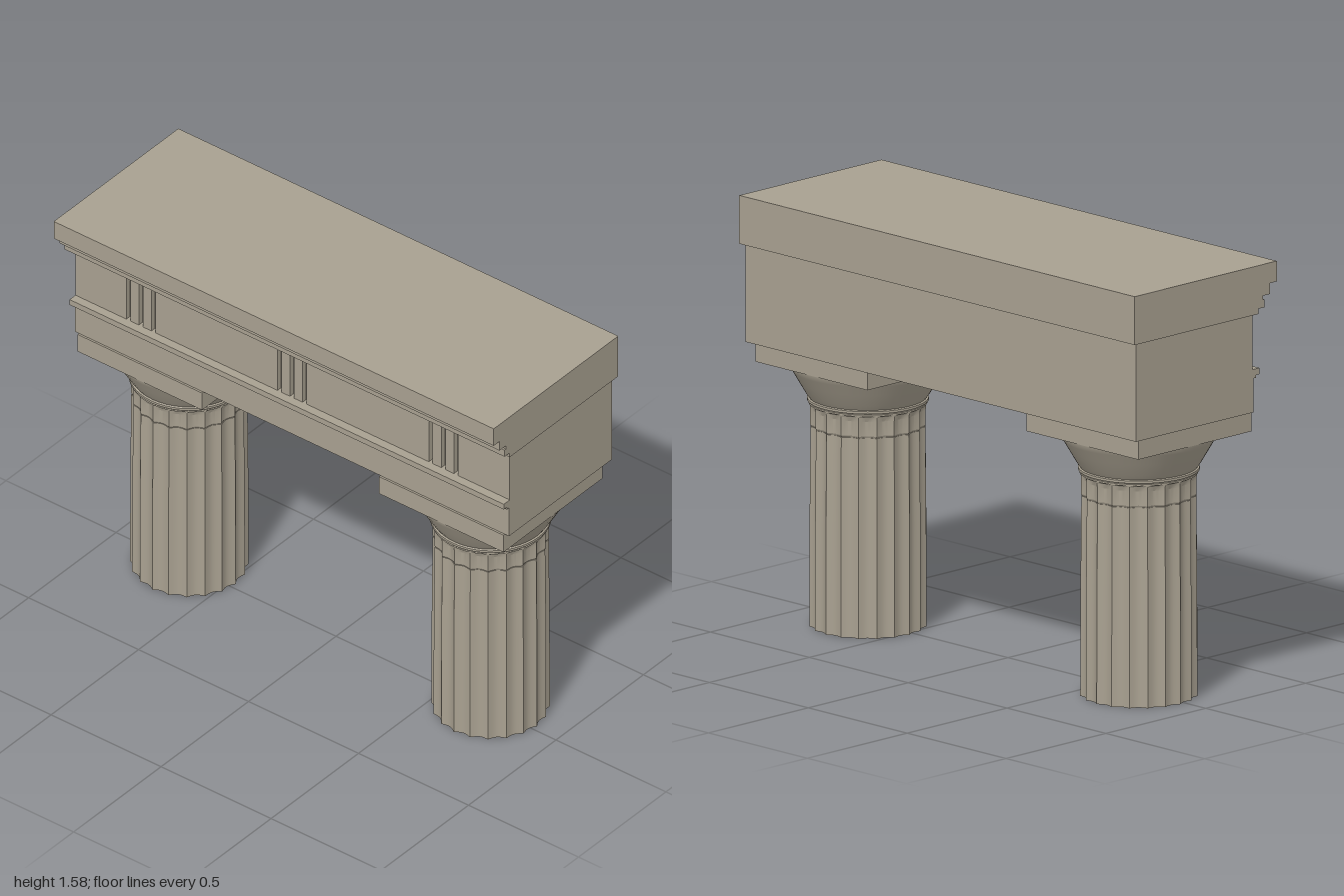
import * as THREE from 'three';
import { toCreasedNormals } from 'three/addons/utils/BufferGeometryUtils.js';

const AXIS_Z = -0.023; // column centre line
const FLUTES = 20;

// Extrude a [z, y] side profile along x, centred
function alongX(points, length) {
  const shape = new THREE.Shape(points.map(([z, y]) => new THREE.Vector2(z, y)));
  return new THREE.ExtrudeGeometry(shape, { depth: length, bevelEnabled: false })
    .rotateY(-Math.PI / 2)
    .translate(length / 2, 0, 0);
}

// Fluted drum: rings are [y, radius, flute depth] from bottom to top
function flutedDrum(rings) {
  const geo = new THREE.CylinderGeometry(1, 1, 1, FLUTES * 6, rings.length - 1);
  const pos = geo.attributes.position;
  for (let i = 0; i < pos.count; i++) {
    const x = pos.getX(i), z = pos.getZ(i);
    const [y, radius, depth] = rings[Math.round((pos.getY(i) + 0.5) * (rings.length - 1))];
    const angle = Math.atan2(z, x);
    const r = radius - depth * Math.abs(Math.sin(angle * FLUTES / 2));
    const k = Math.hypot(x, z) < 0.01 ? 0 : r;
    pos.setXYZ(i, Math.cos(angle) * k, y, Math.sin(angle) * k);
  }
  return toCreasedNormals(geo, 0.3);
}

export function createModel() {
  const model = new THREE.Group();
  model.name = 'templePortico';
  const stone = new THREE.MeshStandardMaterial({ color: 0xa8a090 });
  stone.name = 'stone';

  const add = (parent, name, geometry) => {
    const mesh = new THREE.Mesh(geometry, stone);
    mesh.name = name;
    parent.add(mesh);
    return mesh;
  };

  // Columns
  const shaft = flutedDrum([[0, 0.211, 0.013], [0.4, 0.21, 0.013], [0.735, 0.207, 0.013]]);
  const neck = flutedDrum([
    [0.735, 0.203, 0.011], [0.742, 0.208, 0.013], [0.795, 0.208, 0.013],
    [0.812, 0.209, 0.008], [0.822, 0.211, 0],
  ]);
  const capitalProfile = [
    [0, 0.818], [0.212, 0.818], [0.212, 0.824], [0.207, 0.826], [0.217, 0.829],
    [0.217, 0.838], [0.211, 0.841], [0.215, 0.847], [0.224, 0.86], [0.25, 0.905],
    [0.272, 0.943], [0.28, 0.957], [0.282, 0.966], [0, 0.966],
  ].map(([r, y]) => new THREE.Vector2(r, y));
  const capital = toCreasedNormals(new THREE.LatheGeometry(capitalProfile, 48), 0.5);
  for (const side of [-1, 1]) {
    const column = new THREE.Group();
    column.name = side > 0 ? 'leftColumn' : 'rightColumn';
    column.position.set(side * 0.685, 0, AXIS_Z);
    add(column, 'shaft', shaft);
    add(column, 'neck', neck);
    add(column, 'capital', capital);
    add(column, 'abacus', new THREE.BoxGeometry(0.566, 0.075, 0.566)).position.y = 1.0025;
    model.add(column);
  }

  // Architrave with its projecting band
  add(model, 'architrave', alongX([
    [-0.337, 1.04], [0.252, 1.04], [0.252, 1.165], [0.265, 1.165],
    [0.265, 1.175], [0.282, 1.175], [0.282, 1.198], [-0.337, 1.198],
  ], 1.974));

  // Frieze with three groups of three vertical grooves in the front
  const half = 0.987, front = 0.248, groove = 0.018, deep = 0.02;
  const plan = new THREE.Shape();
  plan.moveTo(-half, 0.337);
  plan.lineTo(-half, -front);
  for (const centre of [-0.69, -0.003, 0.685]) {
    for (const offset of [-0.057, 0, 0.057]) {
      const a = centre + offset - groove / 2, b = a + groove;
      plan.lineTo(a, -front);
      plan.lineTo(a, -front + deep);
      plan.lineTo(b, -front + deep);
      plan.lineTo(b, -front);
    }
  }
  plan.lineTo(half, -front);
  plan.lineTo(half, 0.337);
  add(model, 'frieze', new THREE.ExtrudeGeometry(plan, { depth: 0.204, bevelEnabled: false })
    .rotateX(-Math.PI / 2)).position.y = 1.198;

  // Stepped cornice
  add(model, 'cornice', alongX([
    [-0.356, 1.402], [0.265, 1.402], [0.265, 1.421], [0.294, 1.421], [0.294, 1.45],
    [0.286, 1.45], [0.286, 1.465], [0.323, 1.465], [0.323, 1.505], [0.356, 1.505],
    [0.356, 1.58], [-0.356, 1.58],
  ], 2));

  return model;
}
